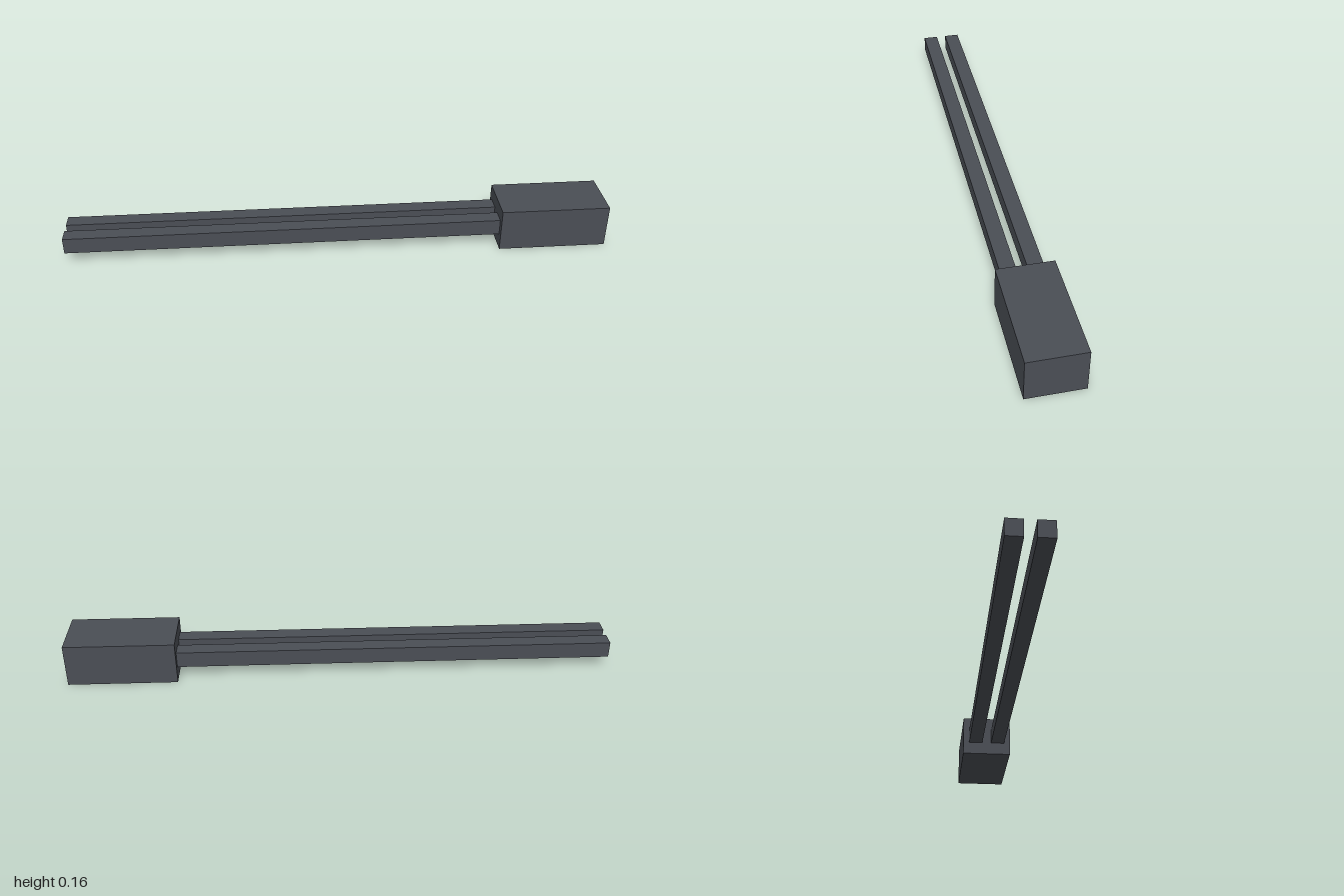
import * as THREE from 'three';

export function createModel() {
  const model = new THREE.Group();
  const darkGrey = new THREE.MeshStandardMaterial({ color: 0x4a4e55 });
  darkGrey.name = 'darkGrey';

  const addBox = (name, size, position) => {
    const mesh = new THREE.Mesh(new THREE.BoxGeometry(...size), darkGrey);
    mesh.name = name;
    mesh.position.set(...position);
    model.add(mesh);
  };

  // Solid block at the left end
  addBox('endBlock', [0.4, 0.16, 0.2], [0.8, 0.08, 0]);

  // Two parallel prongs reaching from the block to the far end
  for (const [name, side] of [['frontProng', 1], ['backProng', -1]]) {
    addBox(name, [1.6, 0.06, 0.056], [-0.2, 0.08, side * 0.047]);
  }

  return model;
}
